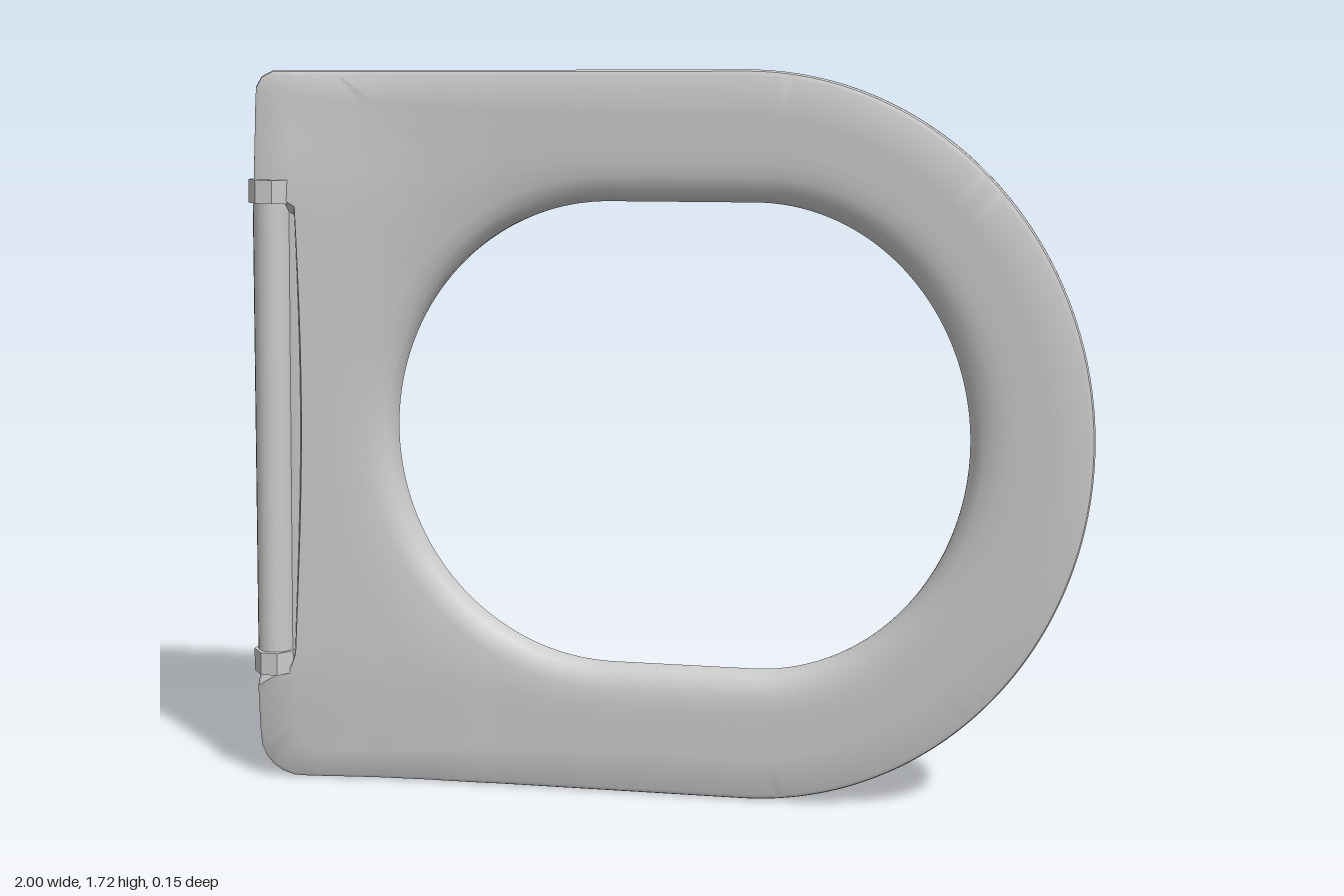
import * as THREE from 'three';
import { toCreasedNormals } from 'three/addons/utils/BufferGeometryUtils.js';

const CX = 0.04, CY = 0.86;
const material = new THREE.MeshStandardMaterial({ color: 0xcccccc });
const smooth = THREE.MathUtils.smoothstep;

// piecewise linear lookup through [x, value] points
function lookup(points, x) {
  for (let i = 1; i < points.length; i++) {
    const [x0, v0] = points[i - 1], [x1, v1] = points[i];
    if (x <= x1) return v0 + (v1 - v0) * Math.max(0, (x - x0) / (x1 - x0));
  }
  return points[points.length - 1][1];
}

// leaning hinge edge of the ring
const hingeEdge = (y) => -0.997 + 0.045 * smooth(y, -0.3, 2.1);

// D-shaped outline with two rounded corners
function insideOuter(x, y) {
  const v = Math.abs(y - CY);
  if (x > 0.2) return ((x - 0.2) / 0.8) ** 2 + (v / 0.86) ** 2 < 1;
  const r = y > CY ? 0.05 : 0.1;
  const dx = hingeEdge(y) + r - x, dy = v - (0.86 - r);
  if (dx > 0 && dy > 0) return dx * dx + dy * dy < r * r;
  return dx < r && dy < r;
}

// oval opening with short straight sides
function insideHole(x, y) {
  const u = x < -0.12 ? (x + 0.12) / 0.53 : x > 0.22 ? (x - 0.22) / 0.5 : 0;
  return u * u + ((y - CY - 0.005) / 0.555) ** 2 < 1;
}

// distance from the centre to an outline along an angle
function reach(inside, a) {
  let lo = 0, hi = 2;
  for (let i = 0; i < 30; i++) {
    const m = (lo + hi) / 2;
    if (inside(CX + m * Math.cos(a), CY + m * Math.sin(a))) lo = m; else hi = m;
  }
  return lo;
}

// front and back heights of the ring
function frontZ(x, y) {
  const z = lookup([[-1, 0.052], [-0.85, 0.038], [-0.7, 0.018], [-0.58, 0.007], [-0.4, 0], [0.3, 0.008], [1, 0.022]], x);
  const corner = smooth(Math.abs(y - CY), 0.55, 0.86) * smooth(-x, 0.4, 0.9);
  return z - 0.022 * corner;
}
const backZ = (x) => lookup([[-1, -0.04], [-0.4, -0.04], [0.3, -0.03], [1, -0.019]], x);
const lipZ = (x) => lookup([[-0.65, -0.078], [0.72, -0.045]], x);

function ringGeometry() {
  const N = 300, positions = [], index = [];
  let M = 0;
  for (let i = 0; i < N; i++) {
    const a = (i / N) * Math.PI * 2;
    const ri = reach(insideHole, a), ro = reach(insideOuter, a), w = ro - ri;
    const add = (r, zOf) => {
      const x = CX + r * Math.cos(a), y = CY + r * Math.sin(a);
      positions.push(x, y, zOf(x, y));
    };
    const atHinge = Math.cos(a) < 0 && Math.abs(ro * Math.sin(a)) < 0.6;
    const groove = atHinge ? 0.022 : 0;
    const front = (drop) => (x, y) => frontZ(x, y) - drop;
    const back = (rise) => (x) => backZ(x) + rise;
    const start = positions.length;
    // rolled inner edge and front face
    add(ri, (x) => lipZ(x) + 0.006);
    add(ri, front(0.045));
    add(ri + 0.012, front(0.026));
    add(ri + 0.03, front(0.012));
    add(ri + 0.06, front(0.004));
    for (const t of [0.3, 0.42, 0.54]) add(ri + w * t, front(0));
    // hinge groove and outer rim
    add(ro - 0.116, front(0));
    add(ro - 0.106, front(groove));
    add(ro - 0.014, front(groove));
    add(ro - 0.004, front(0.005 + groove));
    add(ro, front(0.014 + groove));
    add(ro, back(0.008));
    add(ro - 0.008, back(0));
    // back face and raised lip around the opening
    for (const t of [0.75, 0.5, 0.35]) add(ri + w * t, back(0.002));
    add(ri + 0.07, back(-0.002));
    add(ri + 0.045, (x) => backZ(x) * 0.7 + lipZ(x) * 0.3);
    add(ri + 0.025, lipZ);
    add(ri + 0.006, lipZ);
    M = (positions.length - start) / 3;
  }
  for (let i = 0; i < N; i++) {
    for (let k = 0; k < M; k++) {
      const j = (i + 1) % N, l = (k + 1) % M;
      const p = i * M + k, q = i * M + l, r = j * M + l, s = j * M + k;
      index.push(p, q, r, p, r, s);
    }
  }
  const g = new THREE.BufferGeometry();
  g.setAttribute('position', new THREE.Float32BufferAttribute(positions, 3));
  g.setIndex(index);
  return toCreasedNormals(g, 0.6);
}

export function createModel() {
  const group = new THREE.Group();
  const add = (name, geometry, parent = group) => {
    const mesh = new THREE.Mesh(geometry, material);
    mesh.name = name;
    parent.add(mesh);
    return mesh;
  };

  add('seatRing', ringGeometry());

  // hinge barrel with a collar at each end, leaning with the edge
  const hinge = new THREE.Group();
  hinge.name = 'hinge';
  hinge.position.set(-0.936, 0.87, 0.01);
  hinge.rotation.z = -0.022;
  group.add(hinge);
  const barrel = toCreasedNormals(new THREE.CylinderGeometry(0.05, 0.05, 1.16, 20), 0.6);
  add('hingeBarrel', barrel.scale(0.9, 1, 1), hinge);
  for (const side of [-1, 1]) {
    const shape = new THREE.CylinderGeometry(0.062, 0.062, 0.055, 8).rotateY(Math.PI / 8);
    const collar = add('hingeCollar', toCreasedNormals(shape.scale(0.86, 1, 1.06), 0.6), hinge);
    collar.position.set(0, side * 0.57, 0);
  }

  // bumper pads on the back
  for (const [x, tip] of [[-0.35, -0.064], [0.32, -0.059]]) {
    for (const side of [-1, 1]) {
      const depth = -0.02 - tip;
      const pad = new THREE.CylinderGeometry(0.72, 1, depth, 8).rotateY(Math.PI / 8);
      pad.rotateX(-Math.PI / 2).scale(0.057, 0.108, 1);
      const mesh = add('bumperPad', toCreasedNormals(pad, 0.4));
      mesh.position.set(x, CY + side * 0.715, -0.02 - depth / 2);
    }
  }
  return group;
}
